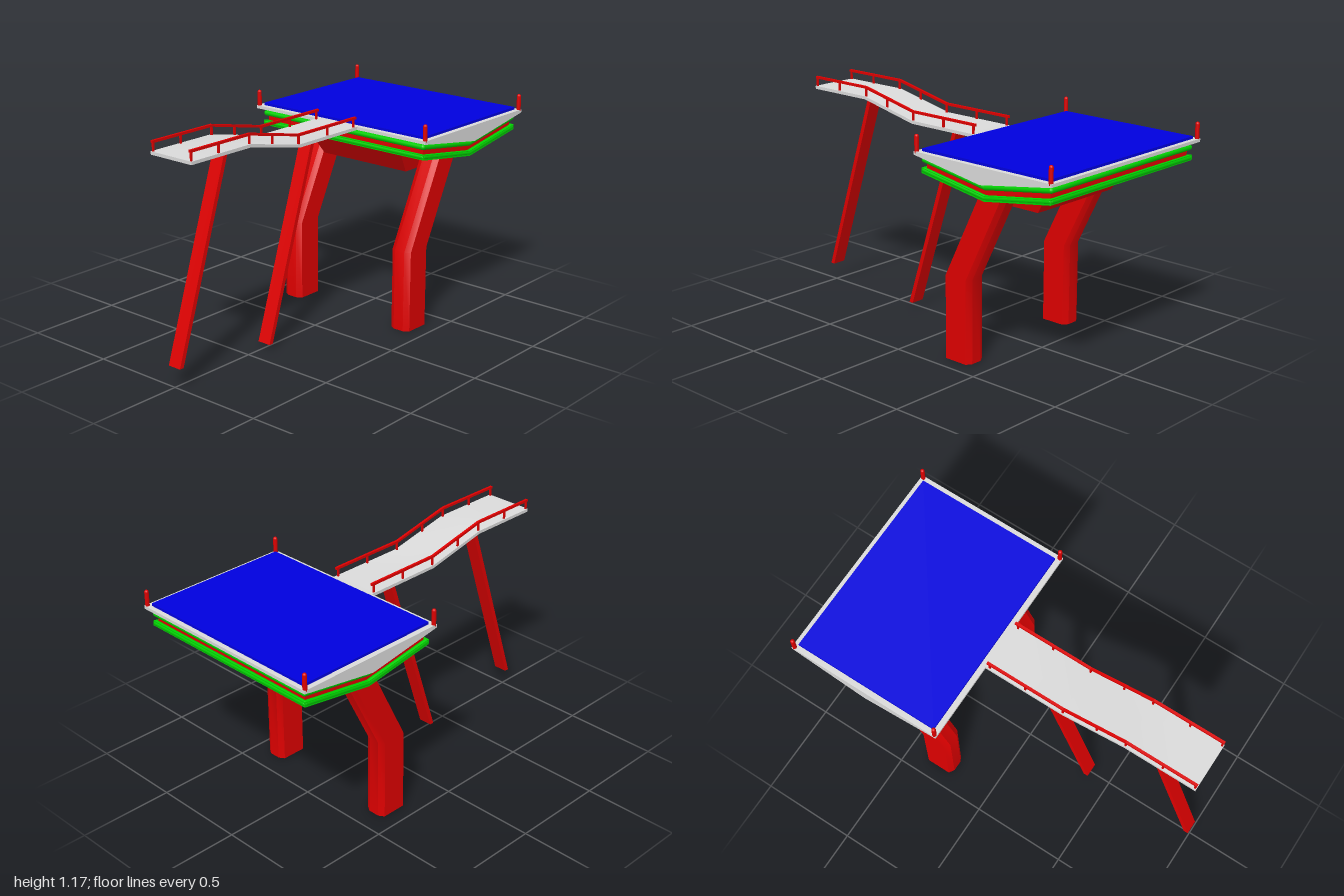
import * as THREE from 'three';
import { toCreasedNormals } from 'three/addons/utils/BufferGeometryUtils.js';

const mat = (name, color, side = THREE.FrontSide) => {
  const m = new THREE.MeshStandardMaterial({ color, side });
  m.name = name;
  return m;
};

export function createModel() {
  const model = new THREE.Group();
  const red = mat('red paint', 0xde0000, THREE.DoubleSide);
  const grey = mat('light grey', 0xdadada);
  const green = mat('green paint', 0x00d000);
  const blue = mat('blue surface', 0x0000de);

  const add = (name, geo, material, parent = model) => {
    const m = new THREE.Mesh(geo, material);
    m.name = name;
    parent.add(m);
    return m;
  };
  const group = (name) => {
    const g = new THREE.Group();
    g.name = name;
    model.add(g);
    return g;
  };

  // Extrudes a [z, y] side profile from x0 to x1
  const sideExtrude = (pts, x0, x1) => {
    const shape = new THREE.Shape(pts.map(([z, y]) => new THREE.Vector2(-z, y)));
    const geo = new THREE.ExtrudeGeometry(shape, { depth: x1 - x0, bevelEnabled: false });
    return geo.rotateY(Math.PI / 2).translate(x0, 0, 0);
  };
  // Round bar between two points
  const bar = (name, a, b, r, material, parent) => {
    const p = new THREE.Vector3(...a), q = new THREE.Vector3(...b);
    const d = q.clone().sub(p);
    const m = add(name, new THREE.CylinderGeometry(r, r, d.length(), 12), material, parent);
    m.position.copy(p).add(q).multiplyScalar(0.5);
    m.quaternion.setFromUnitVectors(new THREE.Vector3(0, 1, 0), d.normalize());
  };

  // Deck with a shallow V underside
  const MID = -0.585, HALF = 0.39;
  add('deck', sideExtrude([[-0.17, 1.043], [-1, 1.043], [-1, 1.027], [MID, 0.96], [-0.17, 1.027]], -0.55, 0.55), grey);
  add('deckSurface', new THREE.BoxGeometry(1.045, 0.014, 0.778), blue).position.set(0, 1.049, -0.587);

  // Corner posts with domed tops
  const posts = group('cornerPosts');
  for (const x of [-0.54, 0.54]) for (const z of [-0.182, -0.988]) {
    const geo = new THREE.CapsuleGeometry(0.011, 0.076, 4, 10);
    add('cornerPost', geo, red, posts).position.set(x, 1.076, z);
  }

  // Layers beneath the deck all follow the same V slope
  const drop = (z) => -0.155 * (HALF - Math.abs(z - MID));
  const vSlab = (x0, x1, z0, z1, top, bottom) => {
    const zs = z0 > MID && z1 < MID ? [z0, MID, z1] : [z0, z1];
    const upper = zs.map((z) => [z, top + drop(z)]);
    const lower = zs.map((z) => [z, bottom + drop(z)]).reverse();
    return sideExtrude([...upper, ...lower], x0, x1);
  };
  const vFrame = (name, hx, hz, w, top, bottom, material) => {
    const g = group(name);
    const f = MID + hz, b = MID - hz;
    for (const s of [-1, 1]) {
      const x = s * (hx - w / 2);
      add('sideBeam', vSlab(x - w / 2, x + w / 2, f, b, top, bottom), material, g);
    }
    add('frontBeam', vSlab(-hx + w, hx - w, f, f - w, top, bottom), material, g);
    add('backBeam', vSlab(-hx + w, hx - w, b + w, b, top, bottom), material, g);
  };
  const vTube = (name, hx, hz, y, r) => {
    const g = group(name);
    const f = MID + hz, b = MID - hz;
    const path = [[-hx, f], [hx, f], [hx, MID], [hx, b], [-hx, b], [-hx, MID]]
      .map(([x, z]) => [x, y + drop(z), z]);
    path.forEach((p, i) => {
      bar('tube', p, path[(i + 1) % path.length], r, green, g);
      add('elbow', new THREE.SphereGeometry(r, 12, 8), green, g).position.set(...p);
    });
  };
  add('upperSlab', vSlab(-0.51, 0.51, MID + 0.375, MID - 0.375, 1.022, 1.012), green);
  vFrame('upperFrame', 0.51, 0.375, 0.07, 1.014, 0.989, green);
  vTube('upperTubeRing', 0.511, 0.38, 1.003, 0.014);
  vFrame('redBand', 0.505, 0.372, 0.07, 0.99, 0.96, red);
  vFrame('innerLining', 0.445, 0.31, 0.018, 1.014, 0.94, green);
  vFrame('lowerFrame', 0.523, 0.39, 0.095, 0.964, 0.938, green);
  vTube('lowerTubeRing', 0.512, 0.38, 0.953, 0.0135);

  // Skins stacked outlines (arrays of [x, y, z]); sharp corners, soft bends
  const loft = (rings, capEnd) => {
    const v = [], n = rings[0].length;
    const tri = (...ps) => ps.forEach((p) => v.push(...p));
    for (let k = 0; k < rings.length - 1; k++) for (let i = 0; i < n; i++) {
      const j = (i + 1) % n, lo = rings[k], hi = rings[k + 1];
      tri(lo[i], hi[i], hi[j]);
      tri(lo[i], hi[j], lo[j]);
    }
    if (capEnd) for (let i = 1; i < n - 1; i++) tri(rings[0][0], rings[0][i], rings[0][i + 1]);
    const geo = new THREE.BufferGeometry();
    geo.setAttribute('position', new THREE.Float32BufferAttribute(v, 3));
    return toCreasedNormals(geo, 0.49);
  };

  // Tapered core under the deck
  const rect = (hx, y, f, b) => [[-hx, y, b], [hx, y, b], [hx, y, f], [-hx, y, f]];
  add('taperedCore', loft([rect(0.27, 0.79, -0.39, -0.69), rect(0.312, 0.975, -0.262, -0.815)], true), red);

  // Bent legs with chamfered corners, open at the foot
  const legRing = (cx, y, cz) => {
    const a = 0.0575, b = 0.0825, ca = 0.028, cb = 0.018;
    return [[-a, b - cb], [-a, -b + cb], [-a + ca, -b], [a - ca, -b],
      [a, -b + cb], [a, b - cb], [a - ca, b], [-a + ca, b]].map(([x, z]) => [cx + x, y, cz + z]);
  };
  for (const s of [-1, 1]) {
    const x = s * 0.3625;
    add(s > 0 ? 'leftLeg' : 'rightLeg',
      loft([legRing(x, 0, -0.3125), legRing(x, 0.425, -0.3125), legRing(x, 0.97, -0.582)], false), red);
  }

  // Walkway with two level runs and a ramp
  const run = [[0.98, 1.117], [0.6, 1.117], [0.26, 1.044], [-0.18, 1.044]];
  const band = (pts, t) => [...pts, ...pts.map(([z, y]) => [z, y - t]).reverse()];
  add('walkway', toCreasedNormals(sideExtrude(band(run, 0.016), -0.13, 0.13), 0.49), grey);

  // Handrails and their posts
  const rails = group('handrails');
  const railRun = [[0.98, 1.169], [0.6, 1.169], [0.26, 1.095], [-0.165, 1.095]];
  const railPosts = [[0.972, 1.115], [0.8, 1.115], [0.6, 1.115], [0.445, 1.082], [0.26, 1.042], [0.05, 1.042], [-0.15, 1.042]];
  for (const s of [-1, 1]) {
    const x = s * 0.121;
    add('handrail', sideExtrude(band(railRun, 0.012), x - 0.0065, x + 0.0065), red, rails);
    for (const [z, y] of railPosts) {
      add('railPost', new THREE.BoxGeometry(0.009, 0.05, 0.009), red, rails).position.set(x, y + 0.023, z);
    }
  }

  // Slanted struts carrying the walkway
  for (const [z0, y0, z1, y1] of [[0.988, 0.101, 0.658, 1.103], [0.375, 0.025, 0.048, 1.031]]) {
    const t = 0.012;
    add('strut', sideExtrude([[z0 + t, y0], [z0 - t, y0], [z1 - t, y1], [z1 + t, y1]], -0.037, 0.037), red);
  }
  return model;
}
